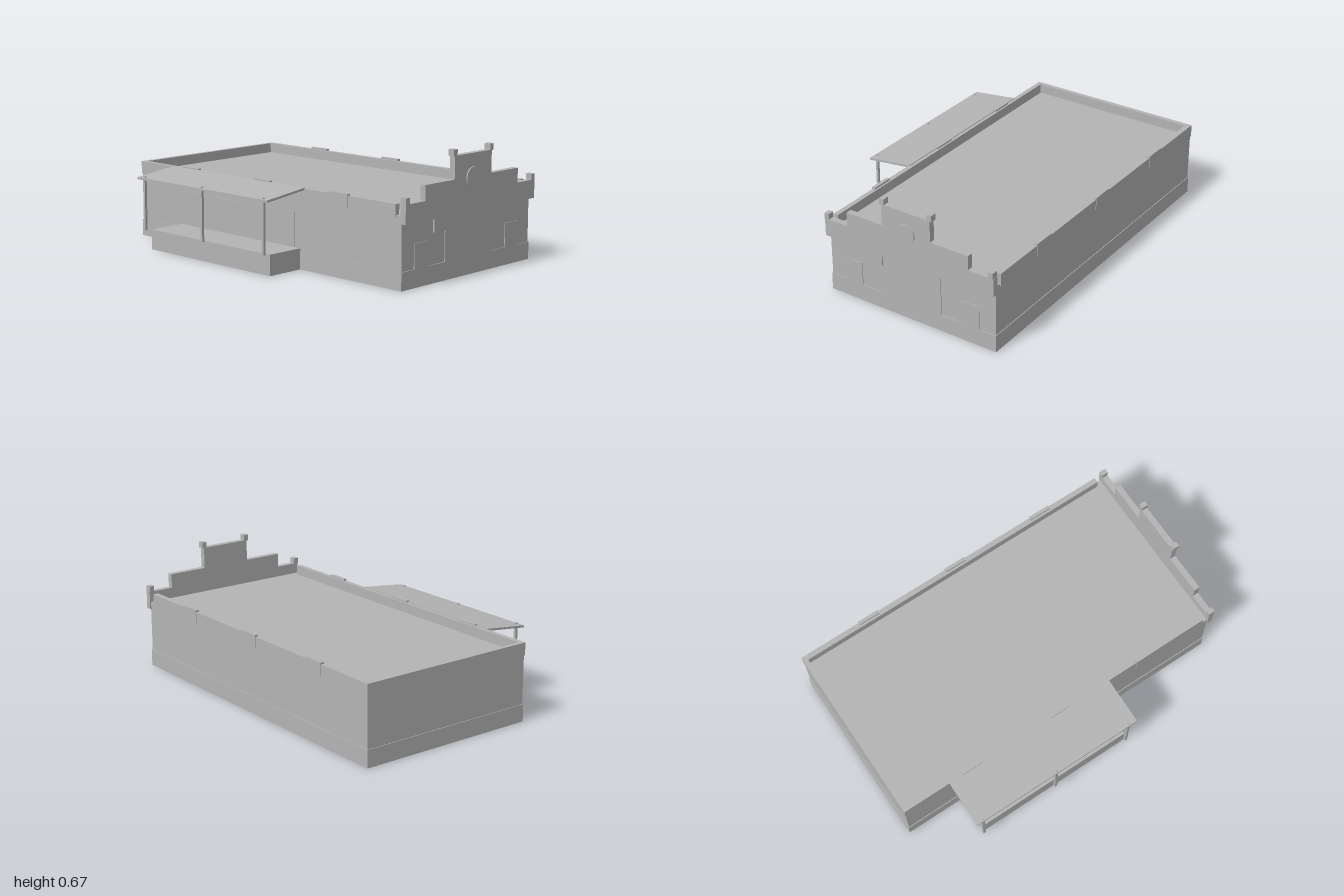
import * as THREE from 'three';

export function createModel() {
  const model = new THREE.Group();
  const plaster = new THREE.MeshStandardMaterial({ color: 0xb4b4b4 });
  plaster.name = 'grey plaster';

  const add = (name, geometry) => {
    const mesh = new THREE.Mesh(geometry, plaster);
    mesh.name = name;
    model.add(mesh);
    return mesh;
  };
  // Box given by its minimum and maximum on each axis
  const box = (name, x0, x1, y0, y1, z0, z1) => {
    const mesh = add(name, new THREE.BoxGeometry(x1 - x0, y1 - y0, z1 - z0));
    mesh.position.set((x0 + x1) / 2, (y0 + y1) / 2, (z0 + z1) / 2);
    return mesh;
  };

  // Main block with a slightly wider plinth
  box('walls', -0.383, 0.641, 0, 0.375, -0.996, 0.962);
  box('plinth', -0.387, 0.645, 0, 0.095, -1, 0.966);

  // Low parapet round three sides of the flat roof
  box('leftParapet', -0.387, -0.36, 0.36, 0.43, -1, 0.925);
  box('rightParapet', 0.615, 0.645, 0.36, 0.43, -1, 0.925);
  box('backParapet', -0.36, 0.615, 0.36, 0.43, -1, -0.975);

  // Small raised blocks along the side parapets
  for (const z of [-0.575, -0.015, 0.545]) {
    box('leftParapetBlock', -0.39, -0.37, 0.37, 0.44, z - 0.063, z + 0.063);
    box('rightParapetBlock', 0.628, 0.648, 0.37, 0.44, z - 0.063, z + 0.063);
  }

  // Stepped front gable
  const steps = [
    [-0.39, 0.335], [0.648, 0.335], [0.648, 0.435], [0.5, 0.435], [0.5, 0.514], [0.276, 0.514],
    [0.276, 0.634], [-0.02, 0.634], [-0.02, 0.514], [-0.244, 0.514], [-0.244, 0.435], [-0.39, 0.435],
  ];
  const outline = new THREE.Shape(steps.map(([x, y]) => new THREE.Vector2(x, y)));
  const gable = add('steppedGable', new THREE.ExtrudeGeometry(outline, { depth: 0.033, bevelEnabled: false }));
  gable.position.z = 0.96;

  // Pinnacle caps on the gable
  for (const [x, y] of [[-0.376, 0.433], [0.632, 0.433], [-0.016, 0.632], [0.274, 0.632]]) {
    box('pinnacle', x - 0.014, x + 0.014, y, y + 0.034, 0.959, 0.995);
  }

  // Round medallion
  const medallion = add('medallion', new THREE.CylinderGeometry(0.055, 0.055, 0.008, 32));
  medallion.rotation.x = Math.PI / 2;
  medallion.position.set(0.127, 0.51, 0.996);

  // Front openings, flush with the plinth
  box('leftDoor', -0.29, -0.182, 0.09, 0.225, 0.958, 0.966);
  box('rightDoor', 0.437, 0.546, 0.09, 0.225, 0.958, 0.966);
  box('entrancePanel', -0.055, 0.314, 0.09, 0.336, 0.958, 0.966);
  box('hangingSign', -0.146, -0.045, 0.26, 0.336, 0.96, 0.972);

  // Side loading platform with its wall panel
  box('platform', -0.605, -0.38, 0, 0.112, -0.66, 0.27);
  box('platformPanel', -0.388, -0.381, 0.11, 0.3, -0.62, 0.23);

  // Sloping canopy
  const slope = new THREE.Shape([
    new THREE.Vector2(-0.65, 0.39), new THREE.Vector2(-0.38, 0.422),
    new THREE.Vector2(-0.38, 0.434), new THREE.Vector2(-0.65, 0.402),
  ]);
  const canopy = add('canopy', new THREE.ExtrudeGeometry(slope, { depth: 1.02, bevelEnabled: false }));
  canopy.position.z = -0.72;

  // Canopy posts
  for (const z of [-0.675, -0.21, 0.255]) {
    box('canopyPost', -0.641, -0.627, 0.112, 0.409, z - 0.007, z + 0.007);
  }

  return model;
}
